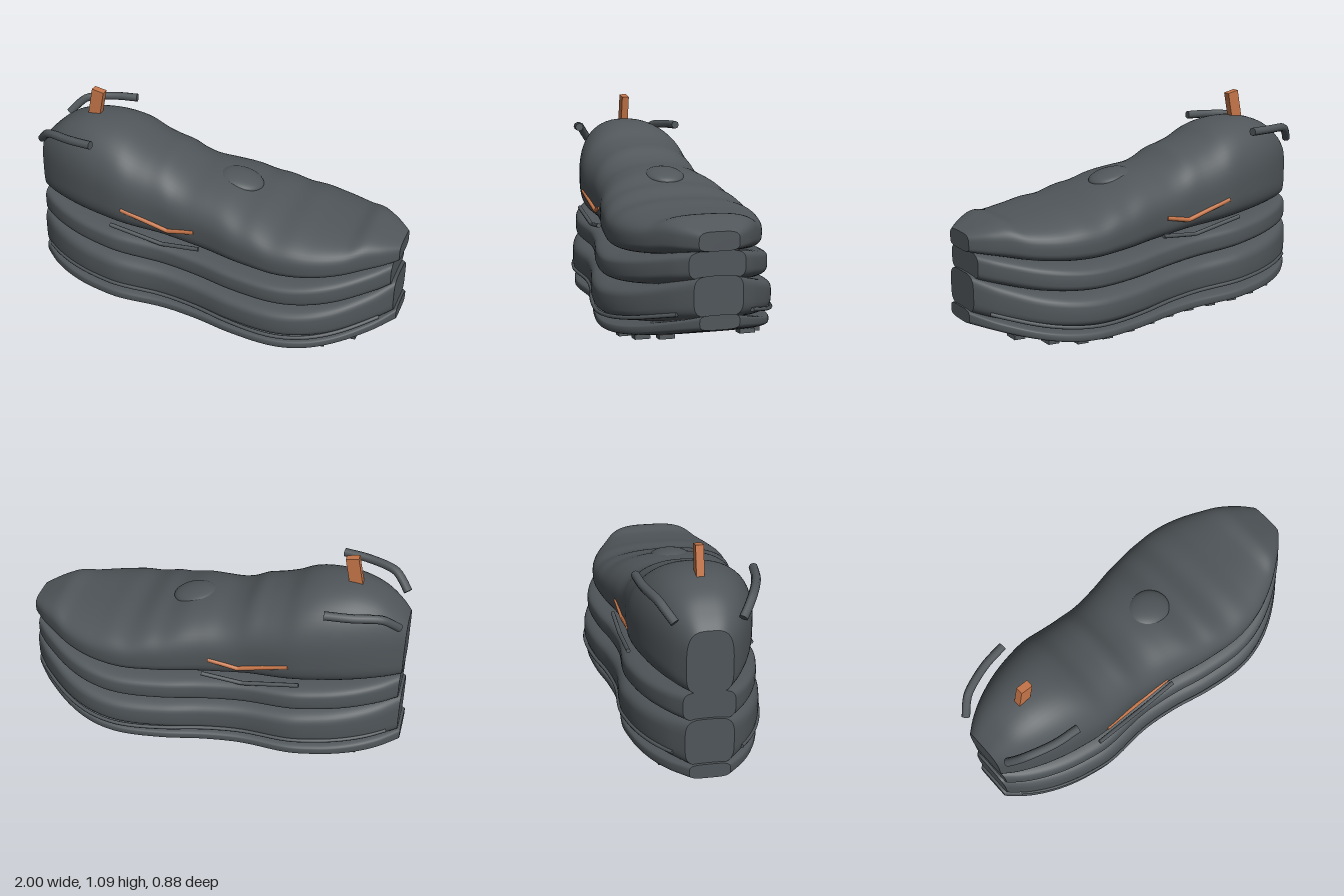
import * as THREE from 'three';

const charcoal = new THREE.MeshStandardMaterial({ color: 0x50565a });
charcoal.name = 'charcoal';
const copper = new THREE.MeshStandardMaterial({ color: 0xc8774a });
copper.name = 'copper';

// Smooth curve y(x) through [x, y] points
function profile(points) {
  const slope = points.map((p, i) => {
    const a = points[Math.max(i - 1, 0)], b = points[Math.min(i + 1, points.length - 1)];
    return (b[1] - a[1]) / (b[0] - a[0]);
  });
  return (x) => {
    let i = 0;
    while (i < points.length - 2 && x > points[i + 1][0]) i++;
    const [x0, y0] = points[i], [x1, y1] = points[i + 1];
    const d = x1 - x0, t = (x - x0) / d, t2 = t * t, t3 = t2 * t;
    return y0 * (2 * t3 - 3 * t2 + 1) + slope[i] * d * (t3 - 2 * t2 + t)
      + y1 * (3 * t2 - 2 * t3) + slope[i + 1] * d * (t3 - t2);
  };
}

// Half width of the footprint along the shoe, heel at -x and toe at +x
const width = profile([[-1, 0.1], [-0.97, 0.13], [-0.9, 0.19], [-0.8, 0.25], [-0.7, 0.293],
  [-0.6, 0.322], [-0.45, 0.347], [-0.2, 0.336], [0, 0.36], [0.2, 0.405], [0.43, 0.43],
  [0.6, 0.402], [0.75, 0.33], [0.9, 0.213], [0.965, 0.143], [1, 0.098]]);

// Loft of rounded cross-sections along x, with flat heel and toe caps
function layer(name, { x0, x1, scale, bottom, top, mid = 0.5, low = 4, high = () => 4 }) {
  const N = 110, M = 56, pos = [], idx = [];
  for (let i = 0; i <= N; i++) {
    const x = x0 + (x1 - x0) * (i / N);
    const w = width(x) * scale, b = bottom(x), t = top(x), c = b + (t - b) * mid;
    for (let j = 0; j < M; j++) {
      const a = (j / M) * Math.PI * 2, co = Math.cos(a), s = Math.sin(a);
      const e = 2 / (s < 0 ? low : high(x));
      const h = s < 0 ? c - b : t - c;
      pos.push(x, c + h * Math.sign(s) * Math.abs(s) ** e, w * Math.sign(co) * Math.abs(co) ** e);
    }
  }
  for (let i = 0; i < N; i++) for (let j = 0; j < M; j++) {
    const k = (j + 1) % M, a = i * M + j, b = a + M, c = i * M + k, d = c + M;
    idx.push(a, b, c, b, d, c);
  }
  for (const i of [0, N]) {
    const start = pos.length / 3;
    for (let j = 0; j < M; j++) pos.push(...pos.slice((i * M + j) * 3, (i * M + j) * 3 + 3));
    pos.push(i ? x1 : x0, (bottom(i ? x1 : x0) + top(i ? x1 : x0)) / 2, 0);
    for (let j = 0; j < M; j++) {
      const a = start + j, b = start + (j + 1) % M;
      if (i) idx.push(start + M, b, a); else idx.push(start + M, a, b);
    }
  }
  const g = new THREE.BufferGeometry();
  g.setAttribute('position', new THREE.Float32BufferAttribute(pos, 3));
  g.setIndex(idx);
  g.computeVertexNormals();
  const mesh = new THREE.Mesh(g, charcoal);
  mesh.name = name;
  return mesh;
}

// Capped tube through points; straight keeps the corners sharp
function cord(name, points, radius, material, straight = false, segments = 24) {
  const v = points.map((p) => new THREE.Vector3(...p));
  let path = new THREE.CatmullRomCurve3(v);
  if (straight) {
    path = new THREE.CurvePath();
    for (let i = 1; i < v.length; i++) path.add(new THREE.LineCurve3(v[i - 1], v[i]));
  }
  const group = new THREE.Group();
  group.name = name;
  group.add(new THREE.Mesh(new THREE.TubeGeometry(path, segments, radius, 8), material));
  for (const t of [0, 1]) {
    const cap = new THREE.Mesh(new THREE.CircleGeometry(radius, 8), material);
    cap.position.copy(path.getPointAt(t));
    cap.lookAt(cap.position.clone().addScaledVector(path.getTangentAt(t), t ? 1 : -1));
    group.add(cap);
  }
  return group;
}

export function createModel() {
  const shoe = new THREE.Group();
  shoe.name = 'shoe';

  // Stacked sole layers
  const soleBottom = profile([[-1, 0.045], [-0.8, 0.025], [-0.4, 0.018], [0.4, 0.018],
    [0.6, 0.03], [0.8, 0.07], [1, 0.13]]);
  shoe.add(layer('outsole', {
    x0: -1, x1: 1, scale: 0.972, bottom: soleBottom,
    top: profile([[-1, 0.118], [-0.6, 0.098], [0, 0.09], [0.45, 0.09], [0.7, 0.115], [0.9, 0.165], [1, 0.2]]),
  }));
  shoe.add(layer('lowerMidsole', {
    x0: -0.985, x1: 0.985, scale: 1,
    bottom: profile([[-1, 0.108], [-0.6, 0.09], [0, 0.085], [0.45, 0.085], [0.7, 0.11], [0.9, 0.158], [1, 0.19]]),
    top: profile([[-1, 0.348], [-0.5, 0.312], [0, 0.282], [0.45, 0.274], [0.7, 0.3], [0.9, 0.35], [1, 0.382]]),
  }));
  shoe.add(layer('upperMidsole', {
    x0: -0.97, x1: 0.965, scale: 0.945,
    bottom: profile([[-1, 0.335], [-0.5, 0.3], [0, 0.272], [0.45, 0.265], [0.7, 0.288], [0.9, 0.335], [1, 0.365]]),
    top: profile([[-1, 0.483], [-0.5, 0.452], [0, 0.425], [0.45, 0.415], [0.7, 0.44], [0.9, 0.475], [1, 0.492]]),
  }));

  // Upper with a wrinkled instep
  shoe.add(layer('upper', {
    x0: -0.975, x1: 0.99, scale: 0.868, mid: 0.42, low: 4,
    high: profile([[-1, 3.6], [-0.85, 2.6], [-0.6, 2.3], [0.5, 2.4], [0.8, 2.8], [1, 4]]),
    bottom: profile([[-1, 0.475], [-0.5, 0.442], [0, 0.415], [0.45, 0.405], [0.7, 0.43], [0.9, 0.47], [1, 0.49]]),
    top: profile([[-0.975, 0.785], [-0.94, 0.825], [-0.85, 0.9], [-0.75, 0.94], [-0.66, 0.952],
      [-0.55, 0.945], [-0.46, 0.92], [-0.38, 0.878], [-0.3, 0.852], [-0.22, 0.832], [-0.15, 0.792],
      [-0.08, 0.768], [0.02, 0.757], [0.12, 0.74], [0.22, 0.705], [0.3, 0.69], [0.4, 0.655],
      [0.5, 0.648], [0.6, 0.632], [0.75, 0.62], [0.83, 0.632], [0.9, 0.612], [0.99, 0.577]]),
  }));

  // Raised oval on the instep
  const oval = new THREE.Mesh(new THREE.SphereGeometry(1, 32, 20), charcoal);
  oval.name = 'instepOval';
  oval.scale.set(0.115, 0.036, 0.1);
  oval.position.set(0.125, 0.722, 0);
  oval.rotation.z = -0.2;
  shoe.add(oval);

  // Heel pull tab
  const tab = new THREE.Mesh(new THREE.BoxGeometry(0.065, 0.2, 0.038), copper);
  tab.name = 'pullTab';
  tab.position.set(-0.69, 0.983, 0);
  tab.rotation.z = -0.2;
  shoe.add(tab);

  const ridgeHeight = profile([[-0.95, 0.158], [-0.5, 0.14], [0, 0.125], [0.45, 0.115], [0.7, 0.14], [0.95, 0.2]]);
  for (const s of [-1, 1]) {
    const side = s > 0 ? 'left' : 'right';

    // Collar cords
    shoe.add(cord(side + 'CollarCord', [[-0.59, 0.915, 0.28 * s], [-0.72, 0.91, 0.262 * s],
      [-0.86, 0.895, 0.215 * s], [-0.9, 0.865, 0.19 * s], [-0.94, 0.82, 0.155 * s]], 0.022, charcoal));

    // Side chevrons
    shoe.add(cord(side + 'CopperChevron', [[-0.43, 0.578, 0.297 * s], [-0.17, 0.508, 0.291 * s],
      [-0.02, 0.545, 0.304 * s]], 0.012, copper, true, 28));
    shoe.add(cord(side + 'LowerChevron', [[-0.49, 0.478, 0.305 * s], [-0.2, 0.432, 0.308 * s],
      [0.01, 0.458, 0.318 * s]], 0.011, charcoal, true, 28));

    // Ridge along the midsole
    const ridge = [];
    for (let i = 0; i <= 24; i++) {
      const x = -0.93 + (1.86 * i) / 24;
      ridge.push([x, ridgeHeight(x), (width(x) - 0.002) * s]);
    }
    shoe.add(cord(side + 'MidsoleRidge', ridge, 0.01, charcoal, false, 90));

    // Tread lugs
    for (let i = 0; i < 12; i++) {
      const x = -0.76 + i * 0.142;
      const lug = new THREE.Mesh(new THREE.BoxGeometry(0.06, 0.022, 0.075), charcoal);
      lug.name = side + 'TreadLug';
      lug.position.set(x, Math.max(soleBottom(x) - 0.003, 0.014), (width(x) * 0.92 - 0.075) * s);
      lug.rotation.z = 0.08;
      shoe.add(lug);
    }
  }
  return shoe;
}
